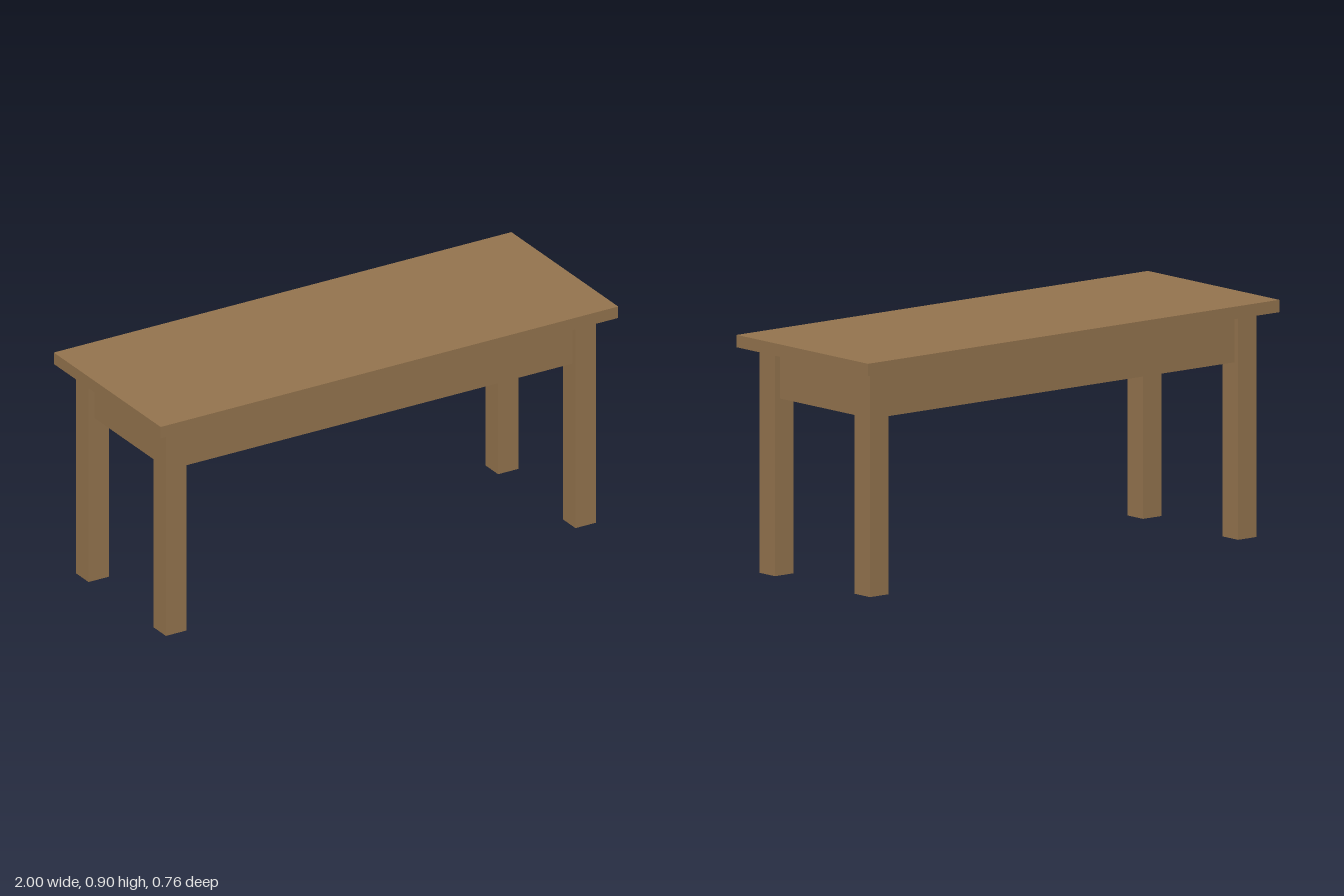
import * as THREE from 'three';

export function createModel() {
  const table = new THREE.Group();
  table.name = 'table';
  const wood = new THREE.MeshStandardMaterial({ color: 0x94744e });
  wood.name = 'brown wood';

  const topY = 0.9, underY = 0.853, apronY = 0.67; // heights
  const legX = 0.94, legZ = 0.32, leg = 0.09; // outer leg faces and leg width

  // Box given by its lowest and highest corner
  function board(name, [x0, y0, z0], [x1, y1, z1]) {
    const mesh = new THREE.Mesh(new THREE.BoxGeometry(x1 - x0, y1 - y0, z1 - z0), wood);
    mesh.position.set((x0 + x1) / 2, (y0 + y1) / 2, (z0 + z1) / 2);
    mesh.name = name;
    table.add(mesh);
    return mesh;
  }

  board('tableTop', [-1, underY, -0.38], [1, topY, 0.38]);

  // Four square legs
  for (const [sx, side] of [[1, 'Left'], [-1, 'Right']]) {
    for (const [sz, end] of [[1, 'front'], [-1, 'back']]) {
      const cx = sx * (legX - leg / 2), cz = sz * (legZ - leg / 2), h = leg / 2;
      board(`${end}${side}Leg`, [cx - h, 0, cz - h], [cx + h, underY, cz + h]);
    }
  }

  // Aprons between the legs, set back a little from their outer faces
  const innerX = legX - leg, innerZ = legZ - leg, thick = 0.034;
  for (const s of [1, -1]) {
    const z = s * (legZ - 0.037), x = s * (legX - 0.042);
    board(s > 0 ? 'frontApron' : 'backApron',
      [-innerX, apronY, z - thick / 2], [innerX, underY, z + thick / 2]);
    board(s > 0 ? 'leftApron' : 'rightApron',
      [x - thick / 2, apronY, -innerZ], [x + thick / 2, underY, innerZ]);
  }
  return table;
}
